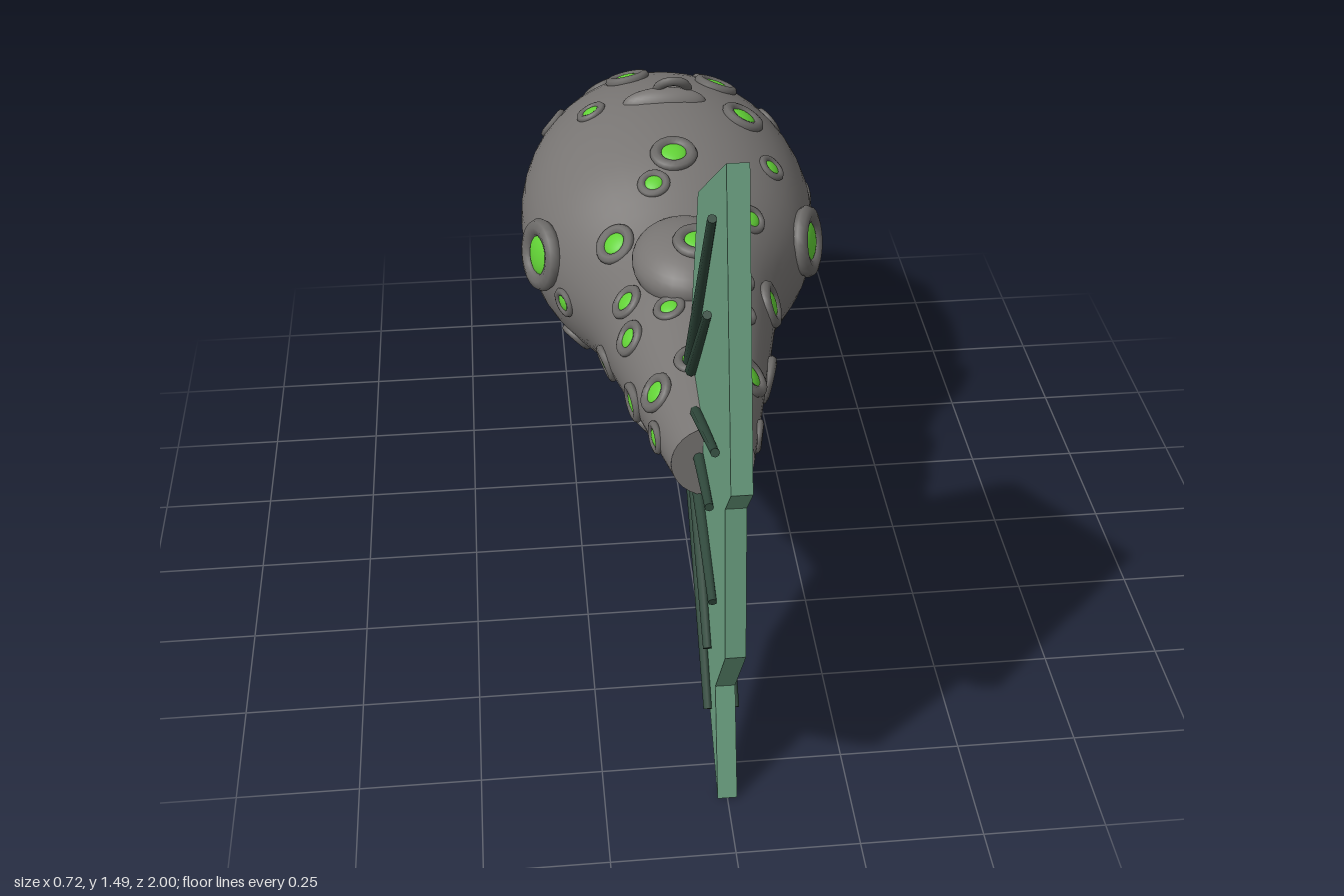
import * as THREE from 'three';

const mat = (name, color, extra = {}) =>
  Object.assign(new THREE.MeshStandardMaterial({ color, ...extra }), { name });

// Body stations at even z steps: half width, centre height, half height
const STEP = 0.209, Z0 = -0.5, Z1 = 0.545;
const stations = new THREE.CatmullRomCurve3([
  [0.325, 0.61, 0.28], [0.353, 0.608, 0.305], [0.325, 0.605, 0.28], [0.225, 0.594, 0.208],
  [0.175, 0.605, 0.165], [0.13, 0.615, 0.12], [0.085, 0.627, 0.083],
].map(p => new THREE.Vector3(...p)), false, 'catmullrom', 0.5);

// Cross-section at z: a half ellipsoid at the rounded end, then the stations
function sectionAt(z) {
  if (z >= Z0) return stations.getPoint(Math.min(1, ((z - Z0) / STEP + 1) / 6));
  const k = Math.sqrt(Math.max(0, 1 - ((z - Z0) / 0.5) ** 2));
  return new THREE.Vector3(0.353 * k, 0.608, 0.305 * k);
}

function surface(z, a) {
  const s = sectionAt(z);
  return new THREE.Vector3(s.x * Math.cos(a), s.y + s.z * Math.sin(a), z);
}

function surfaceNormal(z, a) {
  const e = 0.01;
  const da = surface(z, a + e).sub(surface(z, a - e));
  const dz = surface(z + e, a).sub(surface(z - e, a));
  return da.cross(dz).normalize();
}

function bodyGeometry() {
  const sides = 48, zs = [], pos = [], idx = [];
  for (let i = 0; i < 16; i++) zs.push(Z0 - 0.5 * Math.cos(i / 16 * Math.PI / 2));
  for (let i = 0; i <= 30; i++) zs.push(Z0 + (Z1 - Z0) * i / 30);
  zs.forEach((z, i) => {
    for (let j = 0; j < sides; j++) {
      pos.push(...surface(z, j / sides * Math.PI * 2).toArray());
      if (i === zs.length - 1) continue;
      const a = i * sides + j, b = i * sides + (j + 1) % sides;
      idx.push(a, b, a + sides, b, b + sides, a + sides);
    }
  });
  const g = new THREE.BufferGeometry();
  g.setAttribute('position', new THREE.Float32BufferAttribute(pos, 3));
  g.setIndex(idx);
  g.computeVertexNormals();
  return g;
}

// Spots: [z, height, radius] on the flanks, [z, x, radius] on back and belly
const leftFlank = [
  [0.34, 0.69, 0.05], [0.45, 0.615, 0.036], [0.195, 0.58, 0.055], [0.15, 0.73, 0.036],
  [0.035, 0.745, 0.038], [0.01, 0.657, 0.055], [-0.27, 0.65, 0.086], [-0.335, 0.815, 0.036],
  [-0.715, 0.743, 0.04], [-0.56, 0.603, 0.042], [-0.72, 0.614, 0.042], [-0.9, 0.603, 0.05],
  [-0.51, 0.42, 0.045], [-0.33, 0.394, 0.032], [-0.206, 0.394, 0.035], [-0.735, 0.385, 0.036],
  [0.094, 0.48, 0.045],
];
const rightFlank = [
  [-0.27, 0.65, 0.086], [-0.17, 0.578, 0.036], [-0.24, 0.437, 0.042], [0.17, 0.69, 0.042],
  [0.28, 0.6, 0.045], [0.25, 0.52, 0.04], [0.07, 0.72, 0.042], [0.05, 0.55, 0.045],
  [0.44, 0.62, 0.036], [-0.89, 0.6, 0.05], [-0.61, 0.45, 0.045], [-0.42, 0.53, 0.042],
  [-0.725, 0.76, 0.042],
];
const back = [
  [-0.88, -0.13, 0.05], [-0.905, 0.016, 0.034], [-0.84, 0.14, 0.045], [-0.725, -0.075, 0.055],
  [-0.68, 0.14, 0.055], [-0.555, -0.175, 0.038], [-0.497, 0.185, 0.055], [-0.295, 0, 0.055],
  [-0.217, -0.053, 0.038], [-0.16, 0.165, 0.036], [-0.11, -0.15, 0.05], [0.16, -0.053, 0.036],
  [0.37, -0.1, 0.045], [0.33, -0.02, 0.04],
];
const belly = [
  [-0.8, 0.05, 0.042], [-0.83, -0.1, 0.042], [-0.66, -0.07, 0.045], [-0.5, 0.08, 0.045],
  [-0.4, -0.14, 0.04], [-0.1, -0.11, 0.042], [0.18, 0, 0.042], [0.25, -0.06, 0.036],
];

export function createModel() {
  const skin = mat('grey skin', 0x787573);
  const rim = mat('spot rim grey', 0x6c6a68);
  const glow = mat('bright green', 0x62d236);
  const finGreen = mat('fin green', 0x6ca182);
  const rayGreen = mat('dark ray green', 0x30493c);
  const model = new THREE.Group();
  const add = (name, geo, material, parent = model) => {
    const m = new THREE.Mesh(geo, material);
    m.name = name;
    parent.add(m);
    return m;
  };

  // Body and flat tail stump
  add('body', bodyGeometry(), skin);
  add('tailStump', new THREE.CircleGeometry(0.085, 32), skin).position.set(0, 0.627, Z1);

  // Hump on the back and small ridges above and below
  const ball = new THREE.SphereGeometry(1, 32, 20);
  const lump = (name, p, s) => {
    const m = add(name, ball, skin);
    m.position.set(...p);
    m.scale.set(...s);
  };
  lump('backHump', [0, 0.775, 0], [0.12, 0.075, 0.155]);
  lump('topRidge', [0, 0.895, -0.535], [0.1, 0.04, 0.035]);
  lump('bellyRidge', [0, 0.32, -0.535], [0.1, 0.035, 0.035]);

  // Raised spots: a soft ring around a green dome
  const ringGeo = new THREE.TorusGeometry(0.74, 0.26, 8, 24);
  const domeGeo = new THREE.SphereGeometry(0.58, 20, 6, 0, Math.PI * 2, 0, Math.PI / 2).rotateX(Math.PI / 2);
  domeGeo.scale(1, 1, 0.4);
  const addSpot = (p, n, r) => {
    const spot = new THREE.Group();
    spot.name = 'spot';
    add('spotRing', ringGeo, rim, spot);
    add('spotCentre', domeGeo, glow, spot);
    spot.position.copy(p);
    spot.quaternion.setFromUnitVectors(new THREE.Vector3(0, 0, 1), n);
    spot.scale.set(r, r, r * 0.85);
    model.add(spot);
  };
  const clamp = v => THREE.MathUtils.clamp(v, -1, 1);
  const place = (list, angle) => list.forEach(([z, v, r]) => {
    const a = angle(sectionAt(z), v);
    addSpot(surface(z, a), surfaceNormal(z, a), r);
  });
  place(leftFlank, (s, y) => Math.asin(clamp((y - s.y) / s.z)));
  place(rightFlank, (s, y) => Math.PI - Math.asin(clamp((y - s.y) / s.z)));
  place(back, (s, x) => Math.acos(clamp(x / s.x)));
  place(belly, (s, x) => -Math.acos(clamp(x / s.x)));
  addSpot(new THREE.Vector3(0.02, 0.848, 0.042), new THREE.Vector3(0.03, 0.98, 0.17).normalize(), 0.055);
  addSpot(new THREE.Vector3(0.02, 0.925, -0.55), new THREE.Vector3(0, 0.55, -0.83).normalize(), 0.048);

  // Upright tail fin, outline as [z, y]
  const outline = [
    [0.88, 1.487], [0.43, 1.185], [0.285, 0.77], [0.28, 0.6], [0.33, 0.49], [0.485, 0.25],
    [0.85, 0], [0.79, 0.25], [0.945, 0.46], [0.92, 0.795], [1, 0.885],
  ].map(([z, y]) => new THREE.Vector2(-z, y));
  const finGeo = new THREE.ExtrudeGeometry(new THREE.Shape(outline), { depth: 0.04, bevelEnabled: false });
  finGeo.translate(0, 0, -0.02).rotateY(Math.PI / 2);
  add('tailFin', finGeo, finGreen);

  // Fin rays on both faces: [outer z, outer y, inner z, inner y]
  const rays = [
    [0.745, 1.305, 0.33, 0.72], [0.675, 1.06, 0.38, 0.74], [0.82, 0.85, 0.47, 0.7],
    [0.73, 0.655, 0.5, 0.635], [0.8, 0.477, 0.47, 0.555], [0.715, 0.285, 0.4, 0.55],
    [0.73, 0.135, 0.31, 0.55],
  ];
  for (const side of [1, -1]) {
    for (const [oz, oy, iz, iy] of rays) {
      const outer = new THREE.Vector3(side * 0.028, oy, oz);
      const inner = new THREE.Vector3(side * 0.028, iy, iz);
      const dir = outer.clone().sub(inner);
      const ray = add('finRay', new THREE.CylinderGeometry(0.009, 0.013, dir.length(), 8), rayGreen);
      ray.position.copy(outer).add(inner).multiplyScalar(0.5);
      ray.quaternion.setFromUnitVectors(new THREE.Vector3(0, 1, 0), dir.normalize());
    }
  }
  return model;
}
